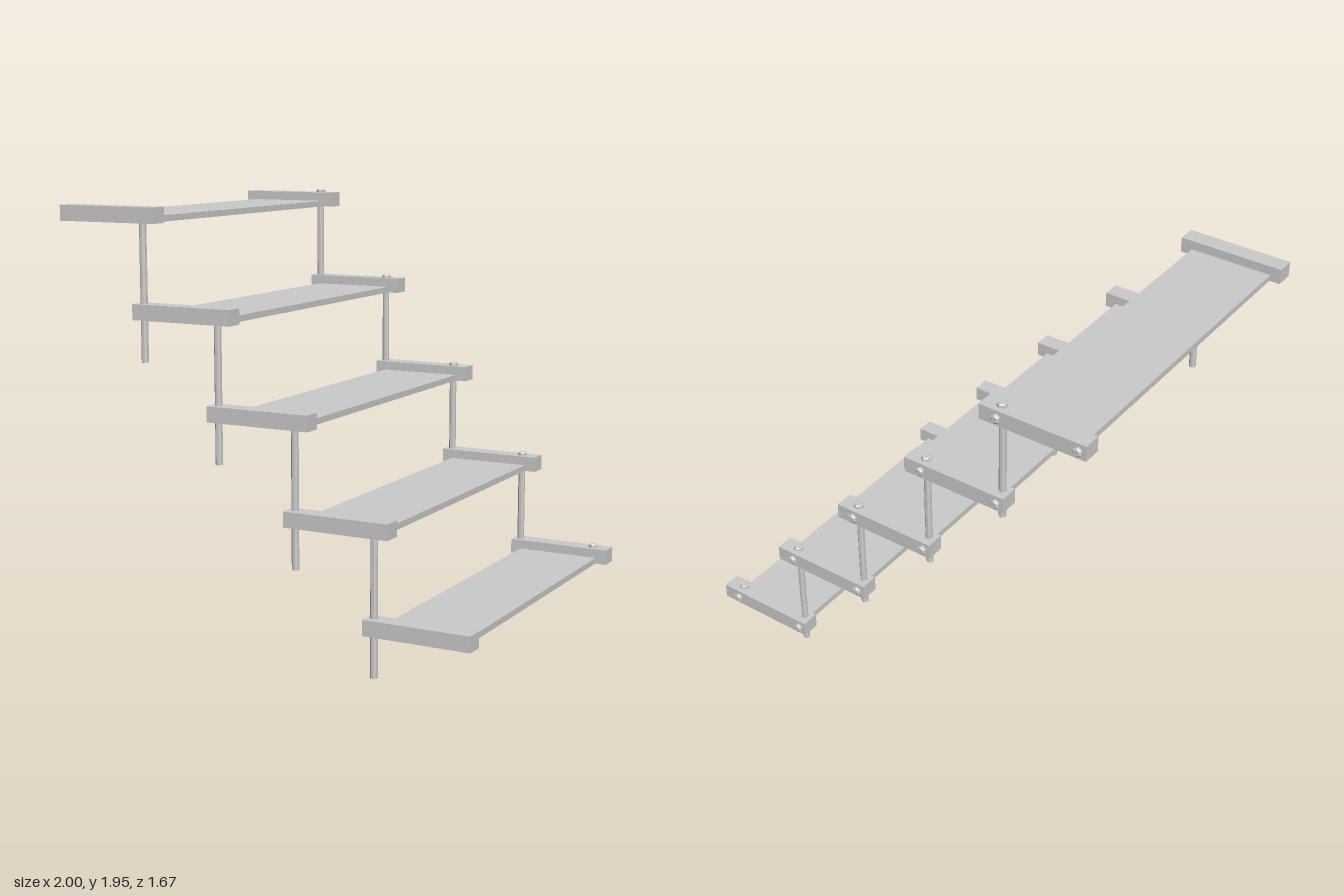
import * as THREE from 'three';

const STEPS = 5, RUN = 0.376, RISE = 0.418;
const RAIL = { len: 0.493, h: 0.07, d: 0.084 };
const BACK_Z = -0.778, FRONT_Z = 0.788;

export function createModel() {
  const model = new THREE.Group();
  model.name = 'openStaircase';
  const material = new THREE.MeshStandardMaterial({ color: 0xcccccc, flatShading: true });

  const add = (parent, name, geometry, x, y, z) => {
    const mesh = new THREE.Mesh(geometry, material);
    mesh.name = name;
    mesh.position.set(x, y, z);
    parent.add(mesh);
    return mesh;
  };

  // Shared shapes
  const railGeo = new THREE.BoxGeometry(RAIL.len, RAIL.h, RAIL.d);
  const treadGeo = new THREE.BoxGeometry(0.39, 0.028, FRONT_Z - BACK_Z - RAIL.d);
  const shankGeo = new THREE.CylinderGeometry(0.022, 0.022, 0.01, 6);
  const capGeo = new THREE.CylinderGeometry(0.016, 0.022, 0.006, 6);

  // Hexagonal bolt head, chamfered on its outer end
  const addBolt = (parent, name, x, y, z) => {
    const bolt = new THREE.Group();
    bolt.name = name;
    bolt.position.set(x, y, z);
    add(bolt, 'head', shankGeo, 0, 0.005, 0);
    add(bolt, 'chamfer', capGeo, 0, 0.013, 0);
    parent.add(bolt);
    return bolt;
  };

  // Upright rod between two heights
  const addPost = (parent, name, x, bottom, top, z) => {
    const geo = new THREE.CylinderGeometry(0.0162, 0.0162, top - bottom, 8);
    geo.rotateY(Math.PI / 8);
    add(parent, name, geo, x, (bottom + top) / 2, z);
  };

  for (let i = 0; i < STEPS; i++) {
    const step = new THREE.Group();
    step.name = 'step' + (i + 1);
    step.position.set(0.7525 - i * RUN, 0.188 + i * RISE, 0);
    model.add(step);

    // Tread held between two raised end rails
    add(step, 'tread', treadGeo, -0.002, 0.014, (BACK_Z + FRONT_Z) / 2);
    add(step, 'frontRail', railGeo, 0, RAIL.h / 2, FRONT_Z);
    add(step, 'backRail', railGeo, 0, RAIL.h / 2, BACK_Z);

    // Bolts on the back rail
    addBolt(step, 'topBolt', 0.163, RAIL.h, BACK_Z);
    for (const x of [-0.211, 0.163]) {
      addBolt(step, 'sideBolt', x, RAIL.h / 2, BACK_Z - RAIL.d / 2).rotation.x = -Math.PI / 2;
    }

    // Rods that carry the next step up
    if (i < STEPS - 1) {
      const top = RISE + RAIL.h / 2;
      addPost(step, 'frontPost', -0.212, -0.188, top, FRONT_Z);
      addPost(step, 'backPost', -0.212, -0.058, top, BACK_Z + 0.006);
    }
  }
  return model;
}
